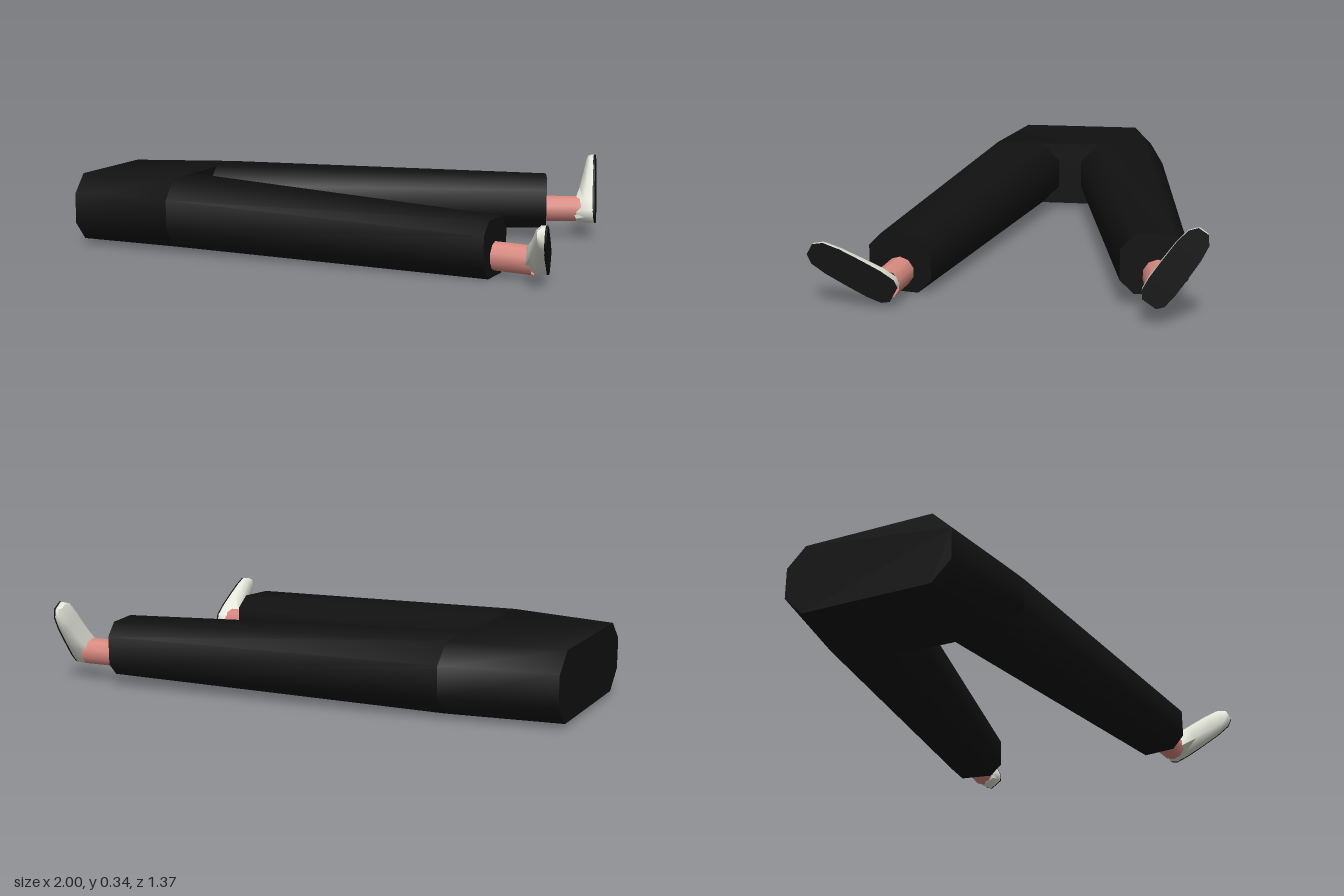
import * as THREE from 'three';
import { toCreasedNormals } from 'three/addons/utils/BufferGeometryUtils.js';

const V = (x, y, z) => new THREE.Vector3(x, y, z);
const material = (color) => new THREE.MeshStandardMaterial({ color, side: THREE.DoubleSide });
const cloth = material(0x111111);
const skin = material(0xd98a80);
const leather = material(0xe4e6da);
const rubber = material(0x121212);

// Capped skin over a row of cross-sections, with its faces turned outward
function loft(sections, crease = 0.85) {
  const n = sections[0].length;
  const tris = [];
  for (let s = 0; s + 1 < sections.length; s++) {
    for (let i = 0; i < n; i++) {
      const j = (i + 1) % n;
      const [a, b, c, d] = [sections[s][i], sections[s][j], sections[s + 1][j], sections[s + 1][i]];
      tris.push([a, b, c], [a, c, d]);
    }
  }
  const first = sections[0];
  const last = sections[sections.length - 1];
  for (let i = 1; i + 1 < n; i++) {
    tris.push([first[0], first[i + 1], first[i]], [last[0], last[i], last[i + 1]]);
  }
  let volume = 0;
  for (const [a, b, c] of tris) volume += a.dot(b.clone().cross(c));
  if (volume < 0) tris.forEach((t) => t.reverse());
  const geometry = new THREE.BufferGeometry().setFromPoints(tris.flat());
  return toCreasedNormals(geometry, crease);
}

// Box section with cut corners; slope turns it about the vertical
function octagon(center, halfY, halfZ, cut, slope = 0) {
  const corners = [
    [halfZ, halfY - cut], [halfZ - cut, halfY], [cut - halfZ, halfY], [-halfZ, halfY - cut],
    [-halfZ, cut - halfY], [cut - halfZ, -halfY], [halfZ - cut, -halfY], [halfZ, cut - halfY],
  ];
  return corners.map(([z, y]) => V(center.x - z * slope, center.y + y, center.z + z));
}

function addMesh(parent, name, geometry, mat) {
  const mesh = new THREE.Mesh(geometry, mat);
  mesh.name = name;
  parent.add(mesh);
}

// Layer of a shoe between two heights above the sole; rows are [along, halfWidth, height]
function shoeLayer(heel, toe, rows, base, round) {
  const along = toe.clone().sub(heel);
  const across = V(1, 0, 0).cross(along).normalize();
  const up = along.clone().cross(across).normalize();
  if (up.x > 0) up.negate();
  const sections = rows.map(([t, w, h]) => {
    const profile = [[-w, base], [w, base], [w, base + (h - base) * 0.5],
      [w * round, h], [-w * round, h], [-w, base + (h - base) * 0.5]];
    return profile.map(([a, b]) => heel.clone().addScaledVector(along, t)
      .addScaledVector(across, a).addScaledVector(up, b));
  });
  return loft(sections, 1.0);
}

const upperRows = [[-0.06, 0.028, 0.075], [0.02, 0.046, 0.085], [0.2, 0.052, 0.083],
  [0.45, 0.052, 0.062], [0.75, 0.05, 0.045], [0.95, 0.042, 0.036], [1.05, 0.02, 0.03]];

const sides = [
  {
    name: 'left',
    hip: V(-0.57, 0.157, 0.195), hipHalf: 0.175, cuff: V(0.74, 0.11, 0.415), slope: 0.168,
    ankle: [V(0.7, 0.08, 0.41), V(0.885, 0.072, 0.432)],
    heel: V(0.935, 0.06, 0.405), toe: V(0.957, 0.203, 0.662),
  },
  {
    name: 'right',
    hip: V(-0.57, 0.157, -0.26), hipHalf: 0.18, cuff: V(0.79, 0.157, -0.495), slope: -0.173,
    ankle: [V(0.74, 0.12, -0.5), V(0.94, 0.122, -0.53)],
    heel: V(0.995, 0.095, -0.502), toe: V(0.975, 0.318, -0.657),
  },
];

export function createModel() {
  const model = new THREE.Group();
  model.name = 'lowerBody';

  // Hips, from the flat waist to the crotch
  addMesh(model, 'hips', loft([
    octagon(V(-1, 0.157, -0.03), 0.135, 0.33, 0.075),
    octagon(V(-0.57, 0.157, -0.035), 0.135, 0.405, 0.075),
  ]), cloth);

  for (const s of sides) {
    const side = new THREE.Group();
    side.name = s.name + 'Leg';

    // Trouser leg
    addMesh(side, 'trouserLeg', loft([
      octagon(s.hip, 0.135, s.hipHalf, 0.075),
      octagon(s.cuff, 0.106, 0.117, 0.05, s.slope),
    ]), cloth);

    // Bare ankle
    const path = new THREE.LineCurve3(s.ankle[0], s.ankle[1]);
    addMesh(side, 'ankle', new THREE.TubeGeometry(path, 1, 0.054, 10), skin);

    // Shoe: pale upper on a thin dark sole
    const shoe = new THREE.Group();
    shoe.name = 'shoe';
    addMesh(shoe, 'upper', shoeLayer(s.heel, s.toe, upperRows, 0.004, 0.6), leather);
    const soleRows = upperRows.map(([t, w]) => [t, w, 0.005]);
    addMesh(shoe, 'sole', shoeLayer(s.heel, s.toe, soleRows, -0.003, 1), rubber);
    side.add(shoe);

    model.add(side);
  }
  return model;
}
